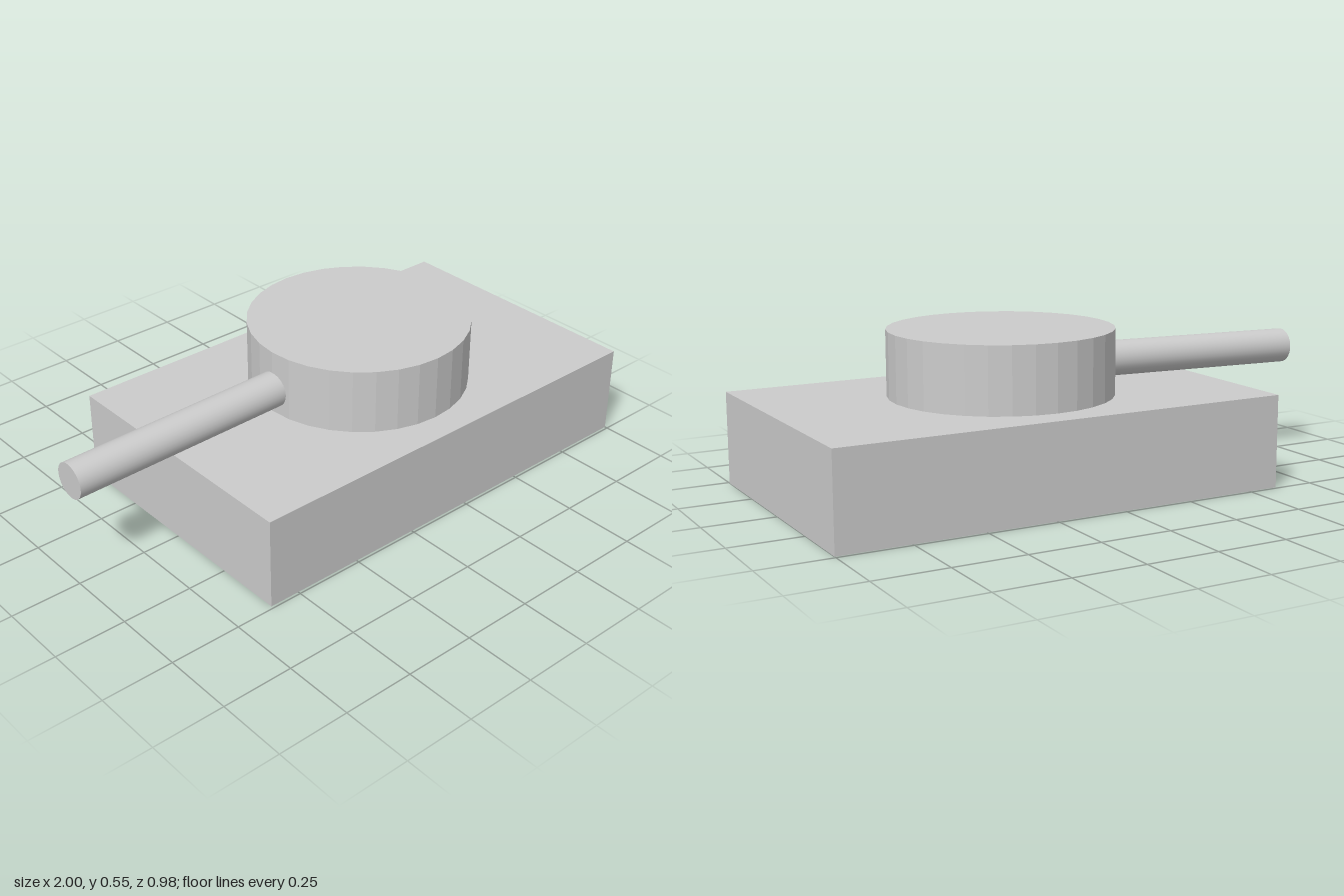
import * as THREE from 'three';

const makeMaterial = (flatShading) => new THREE.MeshStandardMaterial({ color: 0xcccccc, flatShading });

function addPart(group, name, geometry, flat, x, y, z) {
  const mesh = new THREE.Mesh(geometry, makeMaterial(flat));
  mesh.name = name;
  mesh.position.set(x, y, z);
  group.add(mesh);
  return mesh;
}

export function createModel() {
  const model = new THREE.Group();
  model.name = 'tank';

  // Slab hull
  const hullHeight = 0.323;
  addPart(model, 'hull', new THREE.BoxGeometry(1.61, hullHeight, 0.98), true, 0.195, hullHeight / 2, 0);

  // Faceted drum turret resting on the hull
  const turretHeight = 0.228;
  addPart(model, 'turret', new THREE.CylinderGeometry(0.388, 0.388, turretHeight, 32), true,
    0.193, hullHeight + turretHeight / 2, 0);

  // Smooth barrel, drooping slightly from the turret wall to the muzzle
  const muzzle = new THREE.Vector3(-0.999, 0.395, 0);
  const root = new THREE.Vector3(-0.15, 0.41, 0);
  const axis = root.clone().sub(muzzle);
  const middle = muzzle.clone().lerp(root, 0.5);
  const barrel = addPart(model, 'barrel', new THREE.CylinderGeometry(0.0625, 0.0625, axis.length(), 32), false,
    middle.x, middle.y, middle.z);
  barrel.quaternion.setFromUnitVectors(new THREE.Vector3(0, 1, 0), axis.normalize());

  return model;
}
